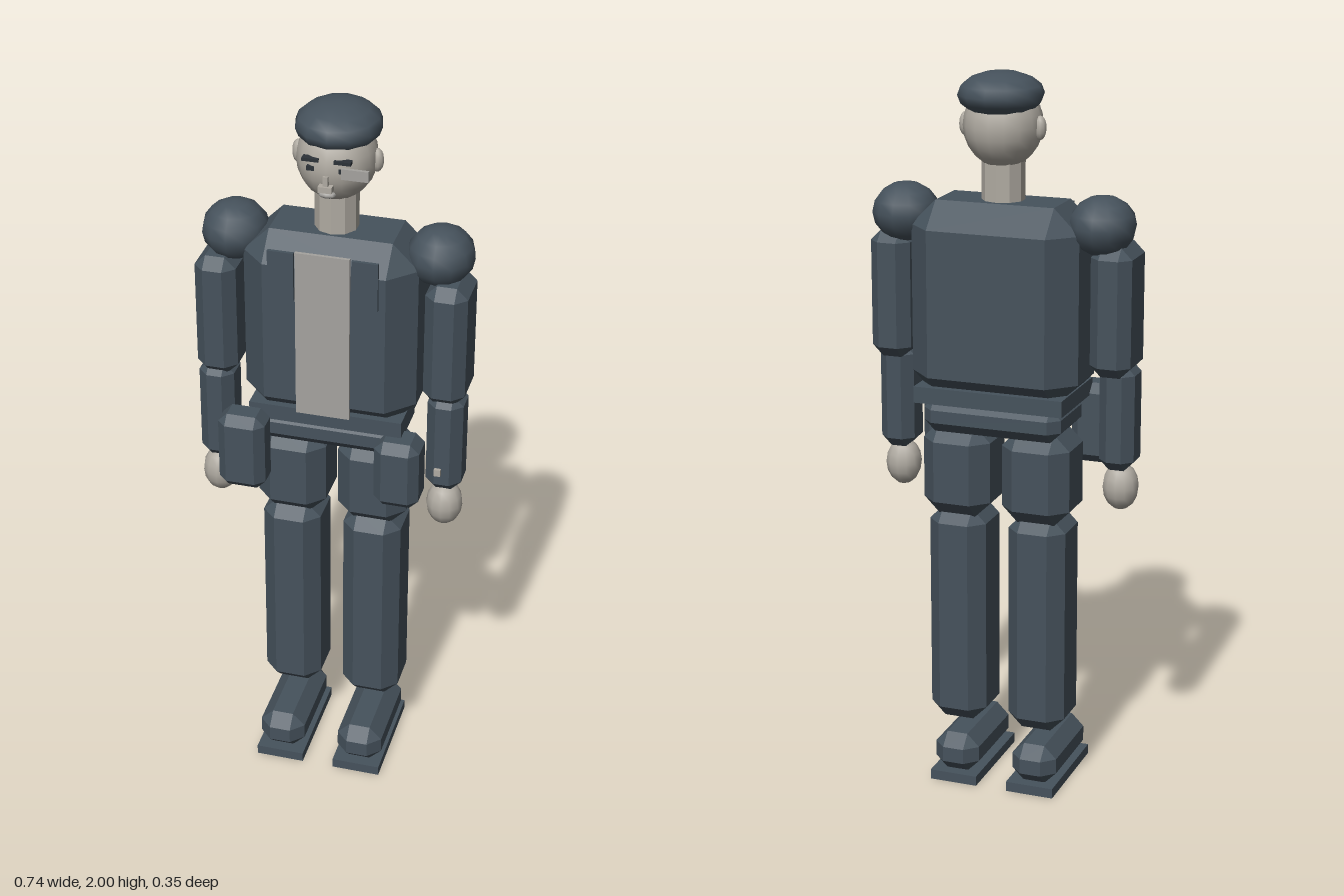
import * as THREE from 'three';
import { ConvexGeometry } from 'three/addons/geometries/ConvexGeometry.js';

const cloth = new THREE.MeshStandardMaterial({ color: 0x46525c });
cloth.name = 'slate cloth';
const skin = new THREE.MeshStandardMaterial({ color: 0xb0aba2 });
skin.name = 'pale skin';
const shirt = new THREE.MeshStandardMaterial({ color: 0xa5a39f });
shirt.name = 'light shirt';
const dark = new THREE.MeshStandardMaterial({ color: 0x2c3238 });
dark.name = 'dark detail';

export function createModel() {
  const model = new THREE.Group();
  model.name = 'figure';

  const add = (name, geometry, material, x = 0, y = 0, z = 0) => {
    const mesh = new THREE.Mesh(geometry, material);
    mesh.name = name;
    mesh.position.set(x, y, z);
    model.add(mesh);
    return mesh;
  };

  // Box given by its [min, max] along each axis
  const box = (name, [x0, x1], [y0, y1], [z0, z1], material) =>
    add(name, new THREE.BoxGeometry(x1 - x0, y1 - y0, z1 - z0), material,
      (x0 + x1) / 2, (y0 + y1) / 2, (z0 + z1) / 2);

  // Box with every edge cut by c
  const chamfered = (name, [x0, x1], [y0, y1], [z0, z1], c, material = cloth) => {
    const half = [(x1 - x0) / 2, (y1 - y0) / 2, (z1 - z0) / 2];
    const points = [];
    for (const sx of [-1, 1]) for (const sy of [-1, 1]) for (const sz of [-1, 1]) {
      for (let axis = 0; axis < 3; axis++) {
        const p = half.map((h, i) => (i === axis ? h : h - c));
        points.push(new THREE.Vector3(p[0] * sx, p[1] * sy, p[2] * sz));
      }
    }
    return add(name, new ConvexGeometry(points), material,
      (x0 + x1) / 2, (y0 + y1) / 2, (z0 + z1) / 2);
  };

  const ellipsoid = (name, [x, y, z], [rx, ry, rz], material, w = 12, h = 8) =>
    add(name, new THREE.SphereGeometry(1, w, h).scale(rx, ry, rz), material, x, y, z);

  // Torso, shirt front and lapels
  chamfered('torso', [-0.235, 0.235], [1.12, 1.66], [-0.175, 0.1], 0.07);
  box('shirtFront', [-0.074, 0.072], [1.16, 1.64], [0.099, 0.108], shirt);
  for (const s of [-1, 1]) {
    const lapel = box('lapel', [0.077, 0.147], [1.5, 1.638], [0.101, 0.11], cloth);
    lapel.position.x *= s;
  }

  // Belt and hips
  box('belt', [-0.21, 0.21], [1.115, 1.16], [-0.165, 0.09], cloth);
  chamfered('hips', [-0.195, 0.195], [1.03, 1.125], [-0.155, 0.075], 0.03);

  // Belt pouches
  chamfered('rightPouch', [-0.282, -0.152], [0.92, 1.145], [0.066, 0.167], 0.025);
  chamfered('leftPouch', [0.142, 0.266], [0.91, 1.11], [0.02, 0.136], 0.025);

  // Limbs, mirrored
  for (const s of [-1, 1]) {
    const side = s > 0 ? 'left' : 'right';
    const span = (a, b) => (s > 0 ? [a, b] : [-b, -a]);
    ellipsoid(side + 'Shoulder', [s * 0.277, 1.61, -0.04], [0.09, 0.08, 0.095], cloth);
    chamfered(side + 'UpperArm', span(0.255, 0.368), [1.21, 1.56], [-0.1, 0.07], 0.03);
    chamfered(side + 'Forearm', span(0.268, 0.366), [0.94, 1.235], [-0.05, 0.065], 0.028);
    ellipsoid(side + 'Hand', [s * 0.318, 0.885, 0.018], [0.05, 0.066, 0.05], skin);
    chamfered(side + 'Thigh', span(0.017, 0.21), [0.785, 1.045], [-0.14, 0.06], 0.045);
    chamfered(side + 'Shin', span(0.033, 0.197), [0.18, 0.805], [-0.127, 0.057], 0.04);
    chamfered(side + 'Shoe', span(0.05, 0.18), [0.024, 0.137], [-0.137, 0.17], 0.035);
    box(side + 'Sole', span(0.045, 0.182), [0, 0.028], [-0.14, 0.174], cloth);
  }
  box('cuffButton', [0.298, 0.316], [1.0, 1.02], [0.058, 0.075], skin);

  // Neck, head, ears and cap
  const neck = new THREE.CylinderGeometry(0.058, 0.058, 0.17, 10).toNonIndexed();
  neck.computeVertexNormals();
  add('neck', neck, skin, 0, 1.705, -0.035);
  ellipsoid('head', [0, 1.858, -0.037], [0.105, 0.114, 0.112], skin, 16, 12);
  for (const s of [-1, 1]) {
    ellipsoid('ear', [s * 0.104, 1.855, -0.042], [0.017, 0.032, 0.018], skin, 10, 8);
  }
  ellipsoid('cap', [0, 1.94, -0.053], [0.114, 0.06, 0.122], cloth);

  // Face
  for (const s of [-1, 1]) {
    const brow = box('eyebrow', [0.02, 0.064], [1.884, 1.893], [0.052, 0.072], dark);
    const eye = box('eye', [0.032, 0.052], [1.858, 1.87], [0.05, 0.069], dark);
    brow.position.x *= s;
    eye.position.x *= s;
  }
  box('noseBridge', [-0.007, 0.007], [1.815, 1.85], [0.06, 0.08], skin);
  box('noseTip', [-0.018, 0.018], [1.808, 1.824], [0.06, 0.086], skin);
  ellipsoid('mouth', [0, 1.793, 0.06], [0.024, 0.01, 0.014], shirt, 8, 6);
  box('eyepiece', [0.041, 0.112], [1.849, 1.878], [0.071, 0.08], shirt);

  return model;
}
